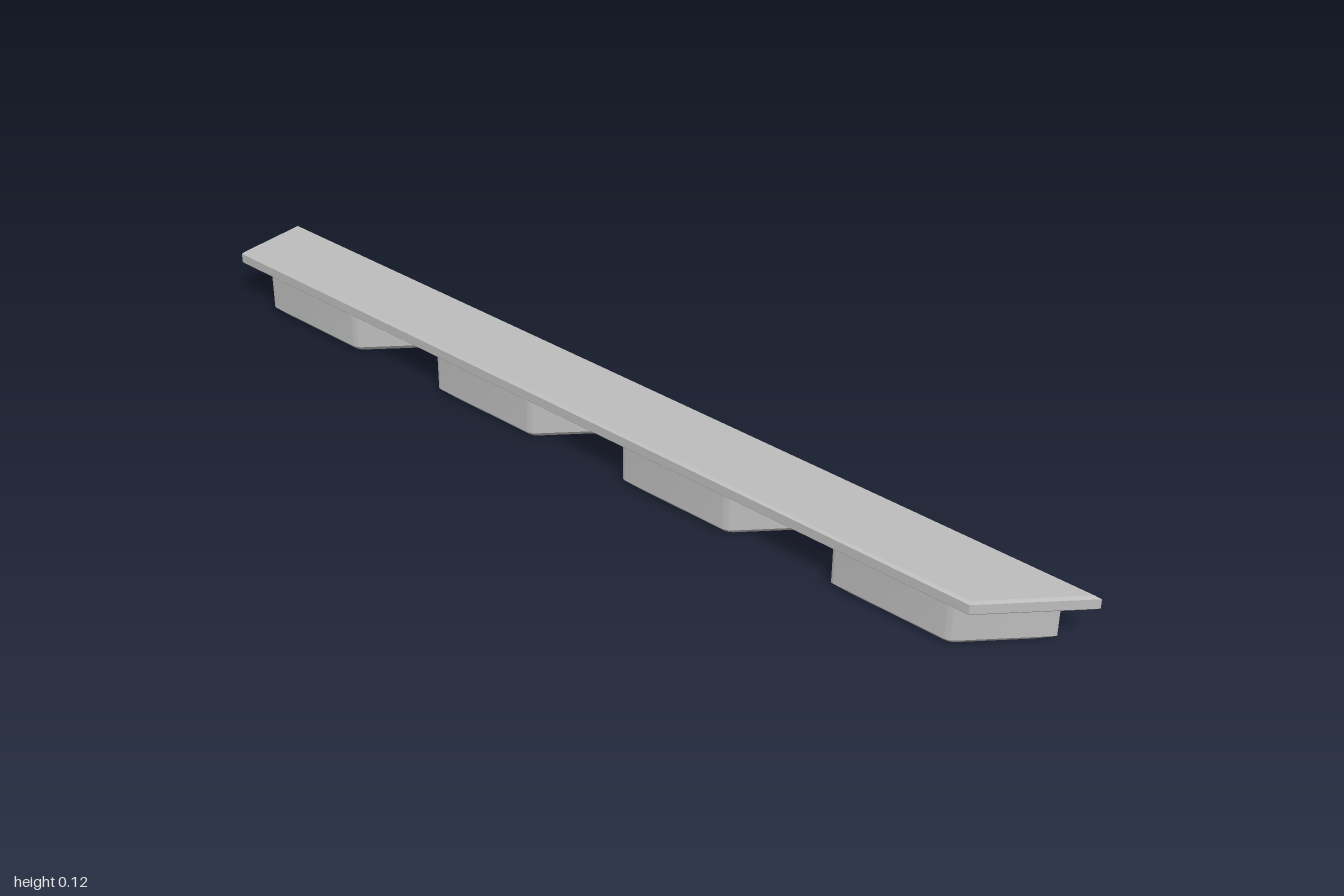
import * as THREE from 'three';
import { toCreasedNormals } from 'three/addons/utils/BufferGeometryUtils.js';

// Shift every edge of a convex plan inwards by d, keeping mitred corners.
function inset(plan, d) {
  const n = plan.length;
  const inward = (i) => {
    const e = plan[(i + 1) % n].clone().sub(plan[i % n]).normalize();
    return new THREE.Vector2(e.y, -e.x);
  };
  return plan.map((p, i) => {
    const a = inward(i + n - 1), b = inward(i);
    return p.clone().addScaledVector(a.clone().add(b), d / (1 + a.dot(b)));
  });
}

// Round each corner of a plan, starting the curve at the given distance from it.
function roundCorners(plan, reach, steps = 4) {
  if (!reach) return plan;
  const n = plan.length;
  return plan.flatMap((p, i) => {
    const towards = (q) => p.clone().add(q.clone().sub(p).setLength(reach));
    const start = towards(plan[(i + n - 1) % n]);
    const end = towards(plan[(i + 1) % n]);
    return new THREE.QuadraticBezierCurve(start, p, end).getPoints(steps);
  });
}

// Solid through insets of one plan; levels are [y, inset] from bottom to top.
function bevelledSolid(corners, levels, reach) {
  const plan = corners.map(([x, z]) => new THREE.Vector2(x, z));
  const rings = levels.map(([y, d]) =>
    roundCorners(inset(plan, d), reach).map((p) => new THREE.Vector3(p.x, y, p.y)));
  const n = rings[0].length;
  const points = [];
  for (let k = 0; k + 1 < rings.length; k++) {
    const low = rings[k], high = rings[k + 1];
    for (let i = 0; i < n; i++) {
      const j = (i + 1) % n;
      points.push(low[i], low[j], high[j], low[i], high[j], high[i]);
    }
  }
  const bottom = rings[0], top = rings[rings.length - 1];
  for (let i = 1; i + 1 < n; i++) {
    points.push(top[0], top[i], top[i + 1], bottom[0], bottom[i + 1], bottom[i]);
  }
  return toCreasedNormals(new THREE.BufferGeometry().setFromPoints(points), 0.65);
}

export function createModel() {
  const model = new THREE.Group();
  model.name = 'mitredRail';
  const grey = new THREE.MeshStandardMaterial({ color: 0xbcbcbc });
  grey.name = 'lightGrey';

  // Long top plate, cut at 45 degrees at the front and square at the back
  const w = 0.08;
  const plate = new THREE.Mesh(bevelledSolid(
    [[w, 1], [w, -1], [-w, -1], [-w, 1 - 2 * w]],
    [[0.093, 0.005], [0.098, 0], [0.118, 0], [0.123, 0.005]], 0), grey);
  plate.name = 'topPlate';
  model.add(plate);

  // Four slanted blocks below, with chamfered bottoms and softened corners
  const b = 0.069, half = 0.198;
  const blockGeometry = bevelledSolid(
    [[b, half], [b, -half + 2 * b], [-b, -half], [-b, half - 2 * b]],
    [[0, 0.012], [0.013, 0], [0.096, 0]], 0.012);
  for (let i = 0; i < 4; i++) {
    const block = new THREE.Mesh(blockGeometry, grey);
    block.name = `footBlock${i + 1}`;
    block.position.z = 0.74 - 0.49 * i;
    model.add(block);
  }
  return model;
}
